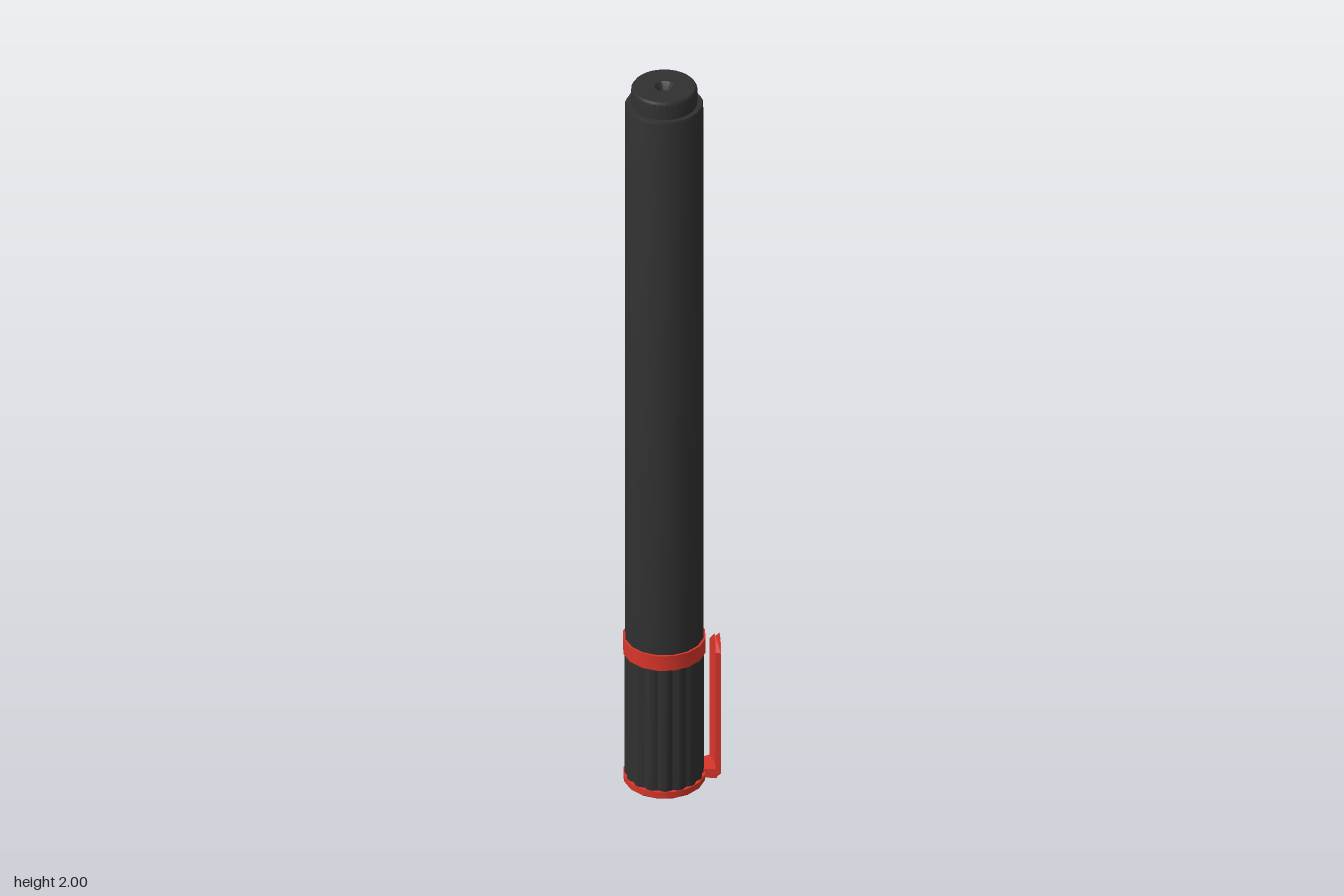
import * as THREE from 'three';
import { toCreasedNormals } from 'three/addons/utils/BufferGeometryUtils.js';

export function createModel() {
  const model = new THREE.Group();
  model.name = 'markerPen';
  const black = new THREE.MeshStandardMaterial({ color: 0x303030 });
  const red = new THREE.MeshStandardMaterial({ color: 0xd8352a });

  const pen = new THREE.Group();
  pen.name = 'pen';
  pen.position.set(-0.018, 0, -0.002);
  model.add(pen);

  function add(name, geometry, material) {
    const mesh = new THREE.Mesh(toCreasedNormals(geometry, 0.6), material);
    mesh.name = name;
    pen.add(mesh);
  }
  const lathe = (points, sides) =>
    new THREE.LatheGeometry(points.map(([r, y]) => new THREE.Vector2(r, y)), sides);

  // Barrel with a narrow bevelled shoulder
  add('barrel', lathe([[0.09, 0.4], [0.097, 0.4], [0.097, 1.945], [0.094, 1.953], [0.07, 1.953]], 16), black);

  // End plug with a small round dimple
  add('endPlug', lathe([
    [0.081, 1.94], [0.081, 1.994], [0.077, 2], [0.024, 2], [0.02, 1.996], [0.012, 1.982], [0, 1.978],
  ], 32), black);

  // Cap collar and end disc
  add('collar', lathe([[0.09, 0.372], [0.1025, 0.372], [0.1025, 0.414], [0.095, 0.414]], 16), red);
  add('capEnd', lathe([[0, 0], [0.098, 0], [0.1015, 0.004], [0.1015, 0.02], [0, 0.02]], 16), red);

  // Fluted cap: a ring of shallow grooves
  const flutes = 16, steps = 6;
  const cap = new THREE.CylinderGeometry(1, 1, 0.36, flutes * steps, 1, true);
  const cp = cap.attributes.position;
  for (let i = 0; i < cp.count; i++) {
    const a = Math.atan2(cp.getZ(i), cp.getX(i));
    const r = 0.0975 - 0.006 * Math.pow(0.5 + 0.5 * Math.cos(a * flutes), 2);
    cp.setXYZ(i, r * Math.cos(a), cp.getY(i) + 0.198, r * Math.sin(a));
  }
  add('flutedCap', cap, black);

  // Curved slab around the pen axis, extruded upwards
  const mid = THREE.MathUtils.degToRad(22.5), half = THREE.MathUtils.degToRad(16);
  function arcSlab(inner, outer, y0, y1, reshape) {
    const shape = new THREE.Shape();
    shape.absarc(0, 0, outer, mid - half, mid + half, false);
    shape.absarc(0, 0, inner, mid + half, mid - half, true);
    const g = new THREE.ExtrudeGeometry(shape, { depth: y1 - y0, steps: 1, bevelEnabled: false, curveSegments: 8 });
    g.rotateX(-Math.PI / 2).translate(0, y0, 0);
    const p = g.attributes.position;
    for (let i = 0; reshape && i < p.count; i++) {
      const x = p.getX(i), z = p.getZ(i);
      const offset = Math.abs(Math.atan2(-z, x) - mid) / half;
      p.setY(i, reshape(p.getY(i), Math.hypot(x, z), offset));
    }
    return g;
  }

  // Pocket clip: pointed at the free end, chamfered at the foot
  add('clip', arcSlab(0.126, 0.139, 0.004, 0.4, (y, r, t) =>
    y > 0.2 ? y - 0.036 * t : (r > 0.13 ? 0.016 : y)), red);
  add('clipFoot', arcSlab(0.09, 0.129, 0.003, 0.028), red);

  return model;
}
